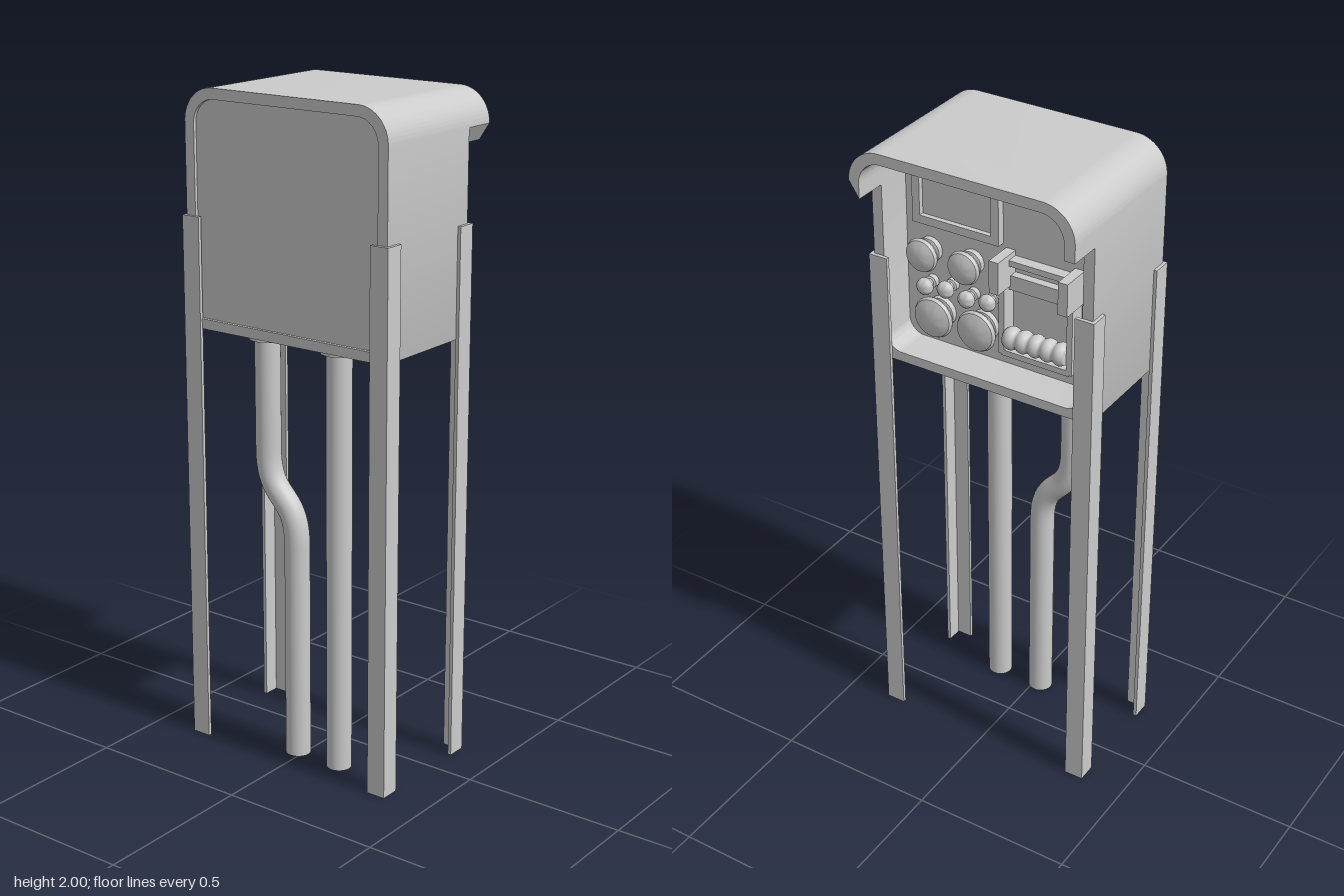
import * as THREE from 'three';
import { toCreasedNormals } from 'three/addons/utils/BufferGeometryUtils.js';

const grey = new THREE.MeshStandardMaterial({ color: 0xcccccc });
const greyOpen = new THREE.MeshStandardMaterial({ color: 0xcccccc, side: THREE.DoubleSide });

function add(parent, name, geometry, x = 0, y = 0, z = 0, material = grey) {
  const mesh = new THREE.Mesh(geometry, material);
  mesh.name = name;
  mesh.position.set(x, y, z);
  parent.add(mesh);
  return mesh;
}

const box = (parent, name, w, h, d, x, y, z) =>
  add(parent, name, new THREE.BoxGeometry(w, h, d), x, y, z);

// Rectangle with separate top and bottom corner radii
function outline(target, w, y0, y1, rTop, rBottom) {
  target.moveTo(-w + rBottom, y0);
  target.lineTo(w - rBottom, y0);
  if (rBottom) target.absarc(w - rBottom, y0 + rBottom, rBottom, -Math.PI / 2, 0, false);
  target.lineTo(w, y1 - rTop);
  target.absarc(w - rTop, y1 - rTop, rTop, 0, Math.PI / 2, false);
  target.lineTo(-w + rTop, y1);
  target.absarc(-w + rTop, y1 - rTop, rTop, Math.PI / 2, Math.PI, false);
  target.lineTo(-w, y0 + rBottom);
  if (rBottom) target.absarc(-w + rBottom, y0 + rBottom, rBottom, Math.PI, Math.PI * 1.5, false);
  return target;
}

function extrude(shape, z0, z1) {
  const g = new THREE.ExtrudeGeometry(shape, { depth: z1 - z0, bevelEnabled: false, curveSegments: 14 });
  return toCreasedNormals(g, 0.5).translate(0, 0, z0);
}

// Cabinet shell, hood and panels
function makeCabinet() {
  const g = new THREE.Group();
  g.name = 'cabinet';
  const body = outline(new THREE.Shape(), 0.355, 1.3, 2, 0.1, 0.006);
  body.holes.push(outline(new THREE.Path(), 0.322, 1.33, 1.968, 0.072, 0.05));
  add(g, 'cabinetBody', extrude(body, -0.145, 0.2));

  const rim = outline(new THREE.Shape(), 0.355, 1.3, 2, 0.1, 0.006);
  rim.holes.push(outline(new THREE.Path(), 0.322, 1.33, 1.968, 0.072, 0));
  add(g, 'frontRim', extrude(rim, 0.2, 0.238));
  add(g, 'frontPanel', extrude(outline(new THREE.Shape(), 0.323, 1.329, 1.969, 0.072, 0), 0.2, 0.228));
  add(g, 'instrumentPanel', extrude(outline(new THREE.Shape(), 0.323, 1.329, 1.969, 0.072, 0.05), -0.03, -0.01));

  // Arched rain hood
  const arch = new THREE.Shape();
  arch.moveTo(0.355, 1.85);
  arch.absarc(0.255, 1.9, 0.1, 0, Math.PI / 2, false);
  arch.absarc(-0.255, 1.9, 0.1, Math.PI / 2, Math.PI, false);
  arch.lineTo(-0.355, 1.85);
  arch.lineTo(-0.322, 1.85);
  arch.absarc(-0.25, 1.896, 0.072, Math.PI, Math.PI / 2, true);
  arch.absarc(0.25, 1.896, 0.072, Math.PI / 2, 0, true);
  arch.lineTo(0.322, 1.85);
  add(g, 'hood', extrude(arch, -0.247, -0.145));
  return g;
}

// Mushroom button pointing to -z
function makeButton(parent, name, x, y, r, depth) {
  const profile = [
    [r * 0.72, 0], [r * 0.72, depth * 0.25], [r * 0.5, depth * 0.3], [r * 0.5, depth * 0.55],
    [r * 0.95, depth * 0.58], [r, depth * 0.68], [r * 0.92, depth * 0.82], [r * 0.55, depth * 0.95], [0, depth],
  ].map(([a, b]) => new THREE.Vector2(a, b));
  const geo = toCreasedNormals(new THREE.LatheGeometry(profile, 24), 0.7).rotateX(-Math.PI / 2);
  add(parent, name, geo, x, y, -0.03);
}

// Controls inside the back opening
function makeControls() {
  const g = new THREE.Group();
  g.name = 'controls';

  // Display frame and glass
  const frame = new THREE.Shape([[0, 1.71], [0.285, 1.71], [0.285, 1.9], [0, 1.9]].map(p => new THREE.Vector2(...p)));
  frame.holes.push(new THREE.Path([[0.025, 1.735], [0.025, 1.875], [0.26, 1.875], [0.26, 1.735]].map(p => new THREE.Vector2(...p))));
  add(g, 'displayFrame', extrude(frame, -0.055, -0.03));
  box(g, 'display', 0.236, 0.142, 0.01, 0.1425, 1.805, -0.034);

  for (const x of [0.24, 0.1]) makeButton(g, 'upperButton', x, 1.625, 0.052, 0.07);
  for (const x of [0.205, 0.06]) makeButton(g, 'lowerButton', x, 1.435, 0.064, 0.07);
  for (const [x, y] of [[0.235, 1.525], [0.165, 1.535], [0.095, 1.525], [0.025, 1.535]])
    makeButton(g, 'smallKnob', x, y, 0.026, 0.065);

  // Open holder with clips, crossbar and ribbed roller
  for (const x of [-0.025, -0.245]) {
    box(g, 'holderSide', 0.018, 0.29, 0.05, x, 1.535, -0.055);
    box(g, 'holderClip', 0.03, 0.1, 0.09, x, 1.65, -0.075);
  }
  box(g, 'holderTop', 0.22, 0.018, 0.035, -0.135, 1.675, -0.0475);
  box(g, 'holderBottom', 0.22, 0.018, 0.05, -0.135, 1.395, -0.055);
  box(g, 'holderCrossbar', 0.2, 0.045, 0.025, -0.135, 1.61, -0.0425);
  const rib = [];
  for (let i = 0; i <= 40; i++)
    rib.push(new THREE.Vector2(0.026 + 0.009 * Math.abs(Math.sin(i / 40 * Math.PI * 5)), -0.1 + i * 0.005));
  rib.unshift(new THREE.Vector2(0, -0.1));
  rib.push(new THREE.Vector2(0, 0.1));
  add(g, 'roller', new THREE.LatheGeometry(rib, 18).rotateZ(Math.PI / 2), -0.135, 1.445, -0.07);
  return g;
}

// L-section corner leg, mirrored by sx and sz
function makeLeg(name, sx, sz, z) {
  const g = new THREE.Group();
  g.name = name;
  const h = 1.63, w = 0.06, t = 0.011;
  box(g, 'sideFlange', t, h, w, sx * (0.365 - t / 2), h / 2, z - sz * w / 2);
  box(g, 'faceFlange', w - t, h, t, sx * (0.365 - t - (w - t) / 2), h / 2, z - sz * t / 2);
  return g;
}

// Conduits under the cabinet
function makePipes() {
  const g = new THREE.Group();
  g.name = 'pipes';
  const z = 0.16, r = 0.038, v = (x, y) => new THREE.Vector3(x, y, z);
  add(g, 'straightPipe', new THREE.CylinderGeometry(r, r, 1.3, 24, 1, true), 0.135, 0.65, z, greyOpen);
  const path = new THREE.CurvePath();
  path.add(new THREE.LineCurve3(v(-0.125, 1.3), v(-0.125, 0.95)));
  path.add(new THREE.CubicBezierCurve3(v(-0.125, 0.95), v(-0.125, 0.78), v(-0.02, 0.84), v(-0.02, 0.67)));
  path.add(new THREE.LineCurve3(v(-0.02, 0.67), v(-0.02, 0)));
  add(g, 'bentPipe', new THREE.TubeGeometry(path, 90, r, 24, false), 0, 0, 0, greyOpen);
  for (const x of [-0.125, 0.135])
    add(g, 'pipeCollar', new THREE.CylinderGeometry(0.054, 0.054, 0.016, 24), x, 1.292, z);
  return g;
}

export function createModel() {
  const model = new THREE.Group();
  model.name = 'controlCabinet';
  model.add(
    makeCabinet(),
    makeControls(),
    makePipes(),
    makeLeg('frontLeftLeg', 1, 1, 0.249),
    makeLeg('frontRightLeg', -1, 1, 0.246),
    makeLeg('backLeftLeg', 1, -1, -0.157),
    makeLeg('backRightLeg', -1, -1, -0.157),
  );
  return model;
}
